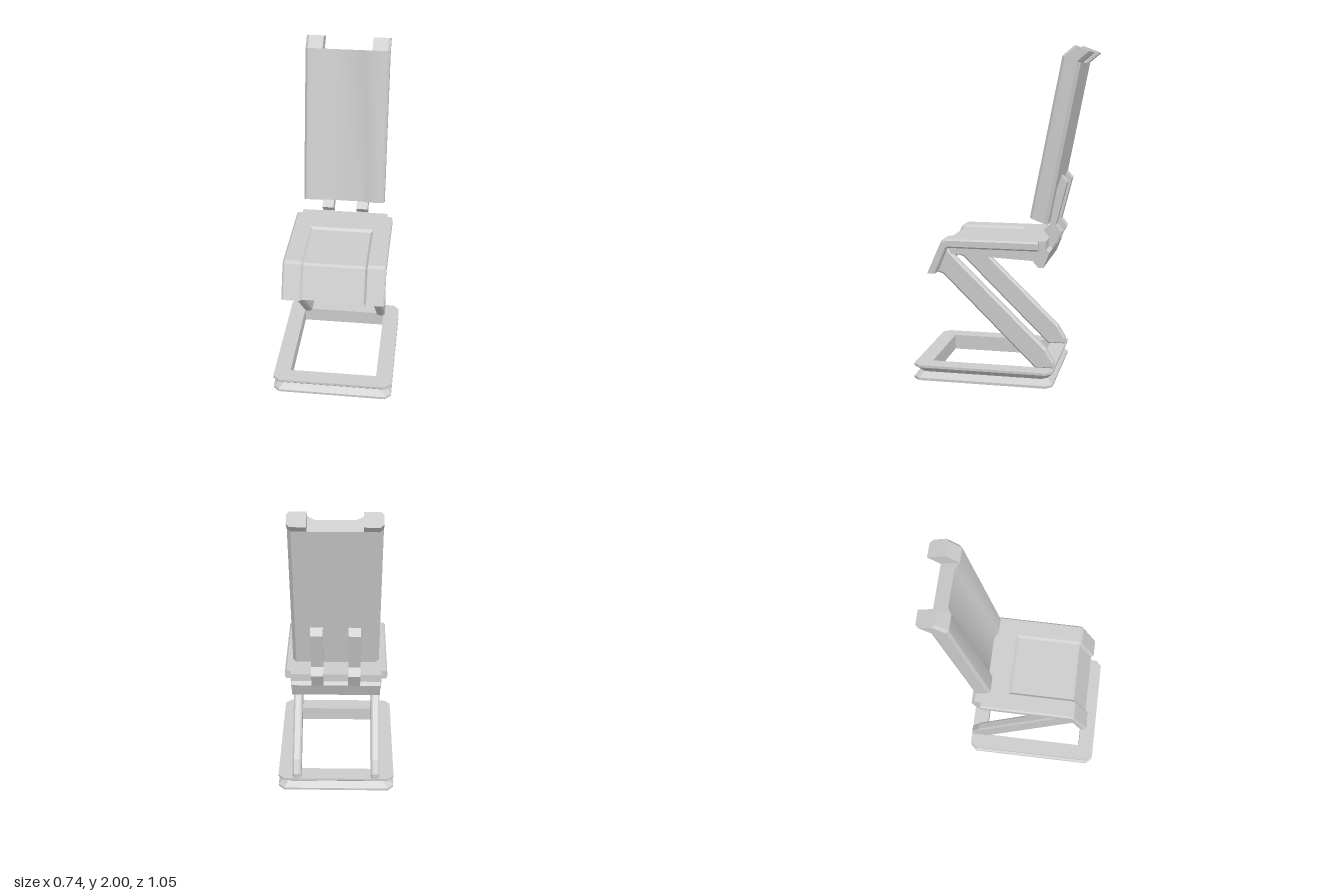
import * as THREE from 'three';
import { toCreasedNormals } from 'three/addons/utils/BufferGeometryUtils.js';

const material = new THREE.MeshStandardMaterial({ color: 0xcccccc });

function addMesh(parent, name, geometry) {
  const mesh = new THREE.Mesh(geometry, material);
  mesh.name = name;
  parent.add(mesh);
  return mesh;
}

const toShape = (pts) => new THREE.Shape(pts.map(([a, b]) => new THREE.Vector2(a, b)));

// Side profile of [z, y] points, extruded from x0 to x1 with optional chamfer
function sideExtrude(pts, x0, x1, chamfer = 0) {
  const g = new THREE.ExtrudeGeometry(toShape(pts), {
    depth: x1 - x0 - 2 * chamfer,
    bevelEnabled: chamfer > 0,
    bevelSegments: 1,
    bevelSize: chamfer,
    bevelOffset: -chamfer,
    bevelThickness: chamfer,
  });
  g.rotateY(-Math.PI / 2);
  g.translate(x1 - chamfer, 0, 0);
  return g;
}

// Plan section of [x, depth] points raised along y; lean slides it backwards
function raiseSection(pts, height, base = 0, lean = 0) {
  const g = new THREE.ExtrudeGeometry(toShape(pts), { depth: height, bevelEnabled: false });
  g.rotateX(-Math.PI / 2);
  const p = g.attributes.position;
  for (let i = 0; i < p.count; i++) {
    const y = p.getY(i), z = p.getZ(i);
    p.setXYZ(i, p.getX(i), base + y + 0.17 * z, z - (lean * y) / height);
  }
  return toCreasedNormals(g, 0.7);
}

// Flat-shaded surface through closed rings of [x, y, z] points
function loft(rings, { loop = false, caps = false } = {}) {
  const out = [];
  const quad = (a, b, c, d) => out.push(...a, ...b, ...c, ...a, ...c, ...d);
  const n = rings[0].length;
  const last = loop ? rings.length : rings.length - 1;
  for (let i = 0; i < last; i++) {
    const r = rings[i], s = rings[(i + 1) % rings.length];
    for (let j = 0; j < n; j++) {
      const k = (j + 1) % n;
      quad(r[j], r[k], s[k], s[j]);
    }
  }
  if (caps) {
    const a = rings[0], b = rings[rings.length - 1];
    for (let j = 0; j < n / 2 - 1; j++) {
      quad(b[j], b[j + 1], b[n - 2 - j], b[n - 1 - j]);
      quad(a[n - 1 - j], a[n - 2 - j], a[j + 1], a[j]);
    }
  }
  const g = new THREE.BufferGeometry();
  g.setAttribute('position', new THREE.Float32BufferAttribute(out, 3));
  g.computeVertexNormals();
  return g;
}

// Rectangular ring of the base with clipped corners
function baseRing(inset, c, y) {
  const X = 0.37 - inset, Z = 0.425 - inset;
  return [
    [X, Z - c], [X, c - Z], [X - c, -Z], [c - X, -Z],
    [-X, c - Z], [-X, Z - c], [c - X, Z], [X - c, Z],
  ].map(([x, z]) => [x, y, z + 0.105]);
}

function seatGeometry() {
  const under = [[-0.225, 0.81], [-0.06, 0.81], [-0.06, 0.81], [0.32, 0.81], [0.335, 0.80], [0.40, 0.65]];
  const full = [[-0.225, 0.865], [-0.06, 0.865], [-0.06, 0.865], [0.34, 0.865], [0.36, 0.853], [0.45, 0.65]];
  const sunken = [[-0.225, 0.865], [-0.06, 0.865], [-0.045, 0.85], [0.332, 0.85], [0.348, 0.84], [0.434, 0.65]];
  const mix = (a, b) => a.map(([z, y], i) => [z + (b[i][0] - z) * 0.18, y + (b[i][1] - y) * 0.18]);
  const section = (x, top, bottom) => [...top, ...[...bottom].reverse()].map(([z, y]) => [x, y, z]);
  const end = [mix(full, under), mix(under, full)];
  return loft([
    section(-0.31, ...end),
    section(-0.30, full, under),
    section(-0.20, full, under),
    section(-0.185, sunken, under),
    section(0.185, sunken, under),
    section(0.20, full, under),
    section(0.30, full, under),
    section(0.31, ...end),
  ], { caps: true });
}

export function createModel() {
  const model = new THREE.Group();
  model.name = 'chair';

  // Open base frame with a V groove around its rim
  addMesh(model, 'baseFrame', loft([
    baseRing(0, 0.037, 0),
    baseRing(0, 0.037, 0.015),
    baseRing(0.035, 0.03, 0.047),
    baseRing(0, 0.037, 0.08),
    baseRing(0, 0.037, 0.095),
    baseRing(0.1, 0, 0.095),
    baseRing(0.1, 0, 0),
  ], { loop: true }));

  // Slanted legs
  const legProfile = [
    [-0.205, 0.09], [-0.318, 0.09], [-0.318, 0.13], [-0.27, 0.21],
    [0.31, 0.775], [0.335, 0.80], [0.395, 0.655], [0.36, 0.645],
  ];
  addMesh(model, 'leftLeg', sideExtrude(legProfile, 0.222, 0.278, 0.011));
  addMesh(model, 'rightLeg', sideExtrude(legProfile, -0.278, -0.222, 0.011));

  // Seat with sunken panel, narrower rear edge and wedge underneath
  addMesh(model, 'seat', seatGeometry());
  const rear = new THREE.BoxGeometry(0.55, 0.055, 0.045);
  rear.translate(0, 0.8375, -0.243);
  addMesh(model, 'seatRearEdge', rear);
  addMesh(model, 'seatUnderside', sideExtrude(
    [[0.33, 0.812], [0.31, 0.77], [-0.225, 0.745], [-0.225, 0.812]], -0.275, 0.275));

  // Bar across the rear carrying the back supports
  addMesh(model, 'rearBar', sideExtrude([
    [-0.19, 0.76], [-0.19, 0.74], [-0.22, 0.705], [-0.25, 0.705], [-0.288, 0.80], [-0.265, 0.815], [-0.22, 0.815],
  ], -0.268, 0.268));

  // Cranked supports joining seat and backrest
  const supportProfile = [
    [-0.25, 0.75], [-0.288, 0.80], [-0.34, 0.90], [-0.305, 0.945], [-0.37, 1.20],
    [-0.337, 1.24], [-0.29, 1.10], [-0.262, 0.97], [-0.28, 0.95], [-0.23, 0.91], [-0.268, 0.868],
  ];
  for (const [name, x] of [['leftSupport', 0.11], ['rightSupport', -0.11]]) {
    addMesh(model, name, sideExtrude(supportProfile, x - 0.036, x + 0.036));
  }

  // Reclined backrest with a shallow channel in front
  const back = new THREE.Group();
  back.name = 'backrest';
  back.position.set(0, 1.0, -0.165);
  back.rotation.x = -0.194;
  model.add(back);
  const edge = [[0.15, 0], [0.24, 0], [0.255, 0.015], [0.255, 0.09], [0.235, 0.111]];
  const half = [[0.11, 0.025], ...edge];
  const mirrored = half.map(([x, d]) => [-x, d]).reverse();
  addMesh(back, 'backPanel', raiseSection([...half, ...mirrored], 0.958));

  // Horns bent backwards at the top corners
  for (const [name, s] of [['leftHorn', 1], ['rightHorn', -1]]) {
    const pts = [...edge, [0.15, 0.111]].map(([x, d]) => [s * x, d]);
    addMesh(back, name, raiseSection(pts, 0.07, 0.958, 0.056));
  }
  return model;
}
